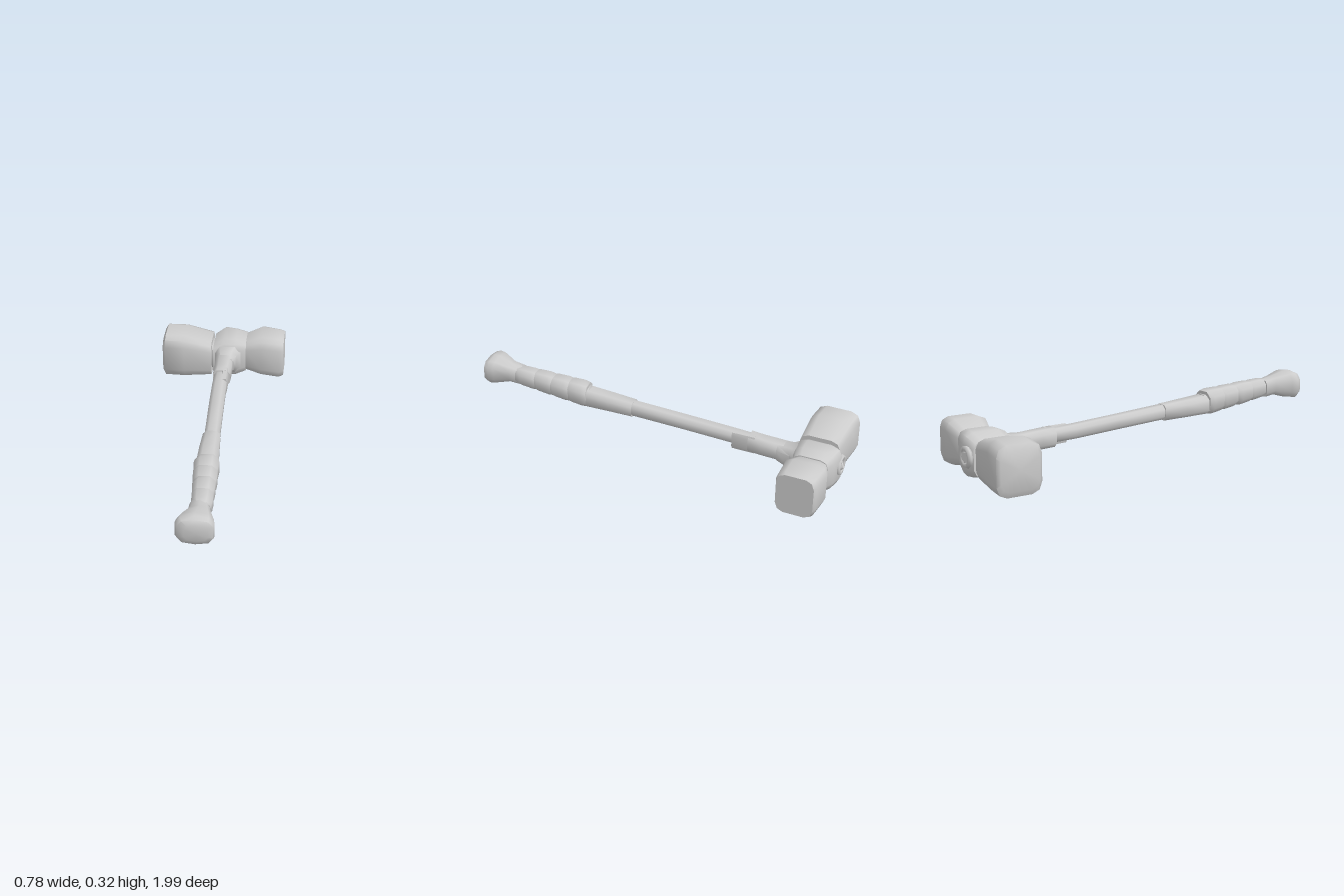
import * as THREE from 'three';
import { toCreasedNormals } from 'three/addons/utils/BufferGeometryUtils.js';

// Closed loft. Each section is [x, z, yBottom, yTop, halfWidth];
// sections stand upright, square to the horizontal direction [ax, az].
function loft(sections, [ax, az], sides, power, crease = 0.95) {
  const pos = [], index = [];
  const curve = (v) => Math.sign(v) * Math.abs(v) ** (2 / power);
  for (const [x, z, y0, y1, w] of sections) {
    for (let i = 0; i < sides; i++) {
      const t = ((i + 0.5) / sides) * Math.PI * 2;
      const a = curve(Math.cos(t)) * w;
      const b = curve(Math.sin(t)) * (y1 - y0) / 2;
      pos.push(x + az * a, (y0 + y1) / 2 + b, z - ax * a);
    }
  }
  const last = sections.length - 1;
  for (let s = 0; s < last; s++) {
    for (let i = 0; i < sides; i++) {
      const j = (i + 1) % sides, p = s * sides, q = p + sides;
      index.push(p + i, p + j, q + j, p + i, q + j, q + i);
    }
  }
  // end caps
  for (const s of [0, last]) {
    const [x, z, y0, y1] = sections[s];
    const c = pos.length / 3;
    pos.push(x, (y0 + y1) / 2, z);
    for (let i = 0; i < sides; i++) {
      const a = s * sides + i, b = s * sides + ((i + 1) % sides);
      if (s === 0) index.push(c, b, a);
      else index.push(c, a, b);
    }
  }
  const g = new THREE.BufferGeometry();
  g.setAttribute('position', new THREE.Float32BufferAttribute(pos, 3));
  g.setIndex(index);
  return toCreasedNormals(g, crease);
}

export function createModel() {
  const group = new THREE.Group();
  group.name = 'warHammer';
  const stone = new THREE.MeshStandardMaterial({ color: 0xcccccc });
  stone.name = 'light grey stone';
  const add = (name, geometry) => {
    const m = new THREE.Mesh(geometry, stone);
    m.name = name;
    group.add(m);
    return m;
  };
  const across = [0.976, 0.216];   // along the head
  const along = [-0.19, 0.982];    // from head to pommel

  // head: two swollen faces and a waisted middle block
  add('rightHammerFace', loft([
    [-0.286, -0.886, 0.03, 0.225, 0.1],
    [-0.272, -0.883, 0.002, 0.25, 0.116],
    [-0.17, -0.853, 0.004, 0.255, 0.116],
    [-0.024, -0.816, 0.02, 0.22, 0.106],
  ], across, 12, 4.5));
  add('headCore', loft([
    [-0.06, -0.823, 0.05, 0.19, 0.075],
    [0.19, -0.785, 0.06, 0.2, 0.075],
  ], across, 8, 4));
  add('middleBlock', loft([
    [-0.012, -0.818, 0.03, 0.205, 0.107],
    [0.045, -0.822, 0.018, 0.238, 0.118],
    [0.11, -0.803, 0.018, 0.236, 0.108],
    [0.165, -0.79, 0.04, 0.225, 0.092],
  ], across, 12, 4.5));
  add('leftHammerFace', loft([
    [0.162, -0.791, 0.05, 0.218, 0.09],
    [0.25, -0.775, 0.025, 0.256, 0.113],
    [0.345, -0.747, 0.012, 0.249, 0.104],
    [0.368, -0.742, 0.022, 0.242, 0.096],
  ], across, 12, 4.5));

  // handle end showing at the back of the head
  const ring = add('backRing', new THREE.TorusGeometry(0.042, 0.014, 6, 10));
  ring.position.set(0.055, 0.13, -0.93);
  ring.rotation.y = -0.21;
  const peg = add('backPeg', new THREE.CylinderGeometry(0.024, 0.032, 0.03, 8));
  peg.position.set(0.055, 0.13, -0.925);
  peg.rotation.set(-Math.PI / 2, 0, 0.21);

  // socket where the shaft enters the head
  add('socket', loft([
    [0.05, -0.73, 0.03, 0.22, 0.09],
    [0.035, -0.69, 0.07, 0.2, 0.06],
    [0.02, -0.62, 0.1, 0.195, 0.05],
  ], along, 8, 3));
  add('upperCollar', loft([
    [0.026, -0.68, 0.1, 0.195, 0.052],
    [0.0, -0.54, 0.105, 0.203, 0.048],
    [-0.017, -0.47, 0.108, 0.207, 0.048],
  ], along, 8, 3));
  add('collarTongue', loft([
    [0.008, -0.5, 0.108, 0.205, 0.02],
    [-0.012, -0.38, 0.11, 0.205, 0.014],
  ], along, 8, 4));

  // shaft
  add('shaft', loft([
    [-0.012, -0.5, 0.128, 0.197, 0.038],
    [-0.041, -0.36, 0.131, 0.204, 0.04],
    [-0.086, -0.12, 0.143, 0.217, 0.04],
    [-0.138, 0.17, 0.156, 0.233, 0.04],
  ], along, 8, 2.6));
  add('lowerSleeve', loft([
    [-0.138, 0.155, 0.15, 0.234, 0.045],
    [-0.163, 0.28, 0.151, 0.243, 0.051],
    [-0.19, 0.43, 0.152, 0.254, 0.056],
  ], along, 8, 3));

  // grip: overlapping wrapped bands, each [zStart, zEnd, yaw offset, half width]
  const bands = [
    [0.41, 0.53, 0.1, 0.064],
    [0.5, 0.62, -0.06, 0.06],
    [0.6, 0.72, 0.08, 0.057],
    [0.69, 0.81, -0.08, 0.052],
  ];
  const gripX = (z) => -0.19 - 0.17 * (z - 0.42);
  const gripY = (z) => 0.212 + 0.08 * (z - 0.42);
  for (const [z0, z1, yaw, w] of bands) {
    const hoop = (z, k) => [gripX(z), z, gripY(z) - w * k, gripY(z) + w * k, w * k];
    add('gripBand', loft([
      hoop(z0, 0.95), hoop(z0 + 0.03, 1.02), hoop(z1 - 0.03, 0.96), hoop(z1, 0.82),
    ], [along[0] + yaw, along[1]], 8, 2.6));
  }
  add('gripCore', loft([
    [-0.188, 0.4, 0.165, 0.255, 0.042],
    [-0.264, 0.86, 0.205, 0.285, 0.04],
  ], along, 8, 2.4));

  // flared pommel with a slightly domed end
  add('pommel', loft([
    [-0.262, 0.79, 0.19, 0.285, 0.046],
    [-0.27, 0.85, 0.198, 0.295, 0.052],
    [-0.294, 0.925, 0.176, 0.318, 0.085],
    [-0.301, 0.955, 0.171, 0.319, 0.091],
    [-0.302, 0.978, 0.18, 0.312, 0.084],
    [-0.3, 0.99, 0.205, 0.288, 0.055],
  ], along, 10, 3));

  return group;
}
